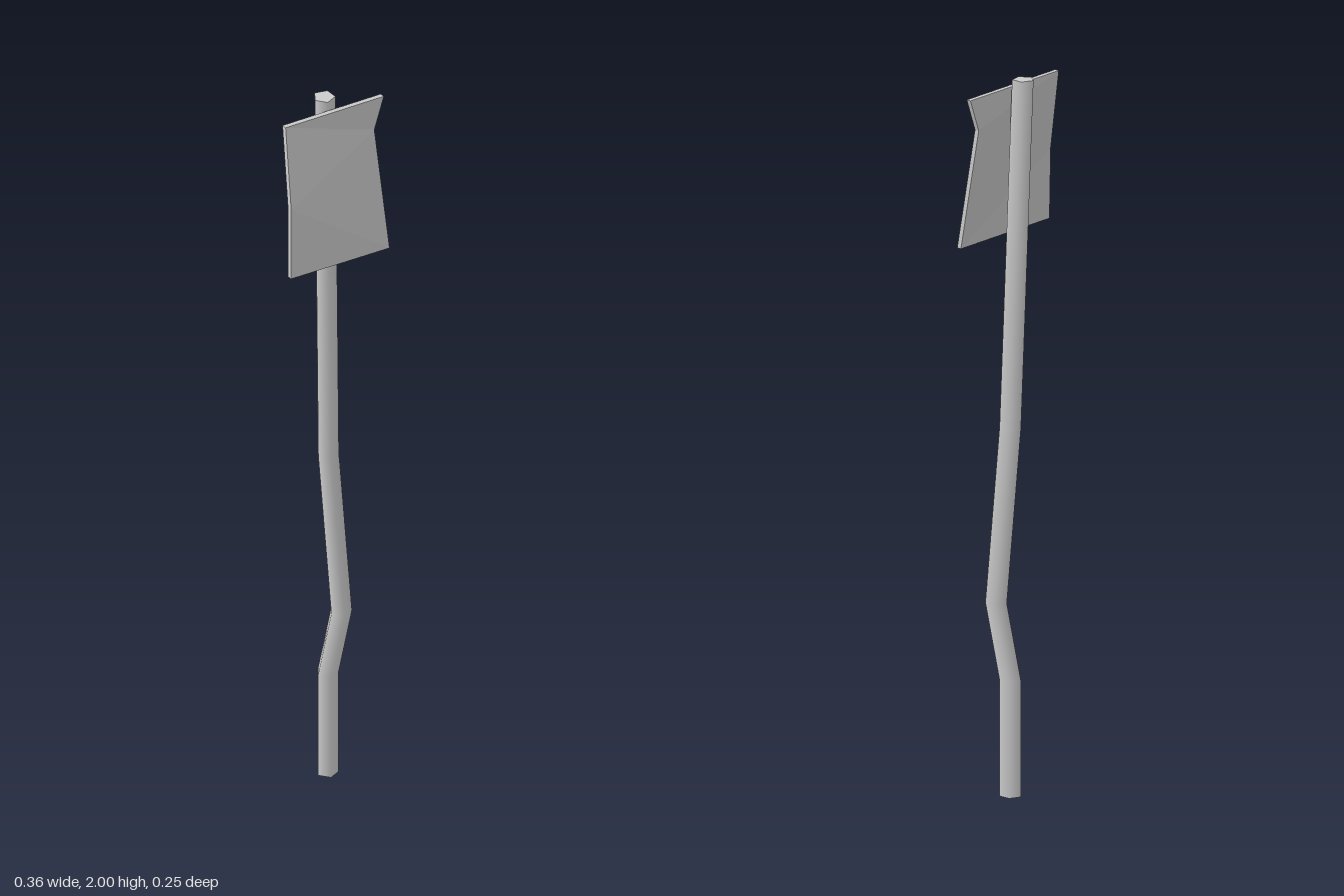
import * as THREE from 'three';

const material = () => new THREE.MeshStandardMaterial({ color: 0xcccccc });

// Five-sided bent pole: a cylinder whose rings follow a list of centres.
function createPole() {
  const centres = [
    [-0.09, 0, 0.059],
    [-0.09, 0.315, 0.059],
    [-0.075, 0.522, 0.097],
    [-0.088, 1.005, 0.057],
    [0.018, 2, -0.099],
  ];
  const spans = centres.length - 1;
  const geometry = new THREE.CylinderGeometry(0.03, 0.03, spans, 5, spans, false, -Math.PI / 2);
  const p = geometry.attributes.position;
  for (let i = 0; i < p.count; i++) {
    const [x, y, z] = centres[Math.round(p.getY(i) + spans / 2)];
    p.setXYZ(i, p.getX(i) + x, y, p.getZ(i) + z);
  }
  const mesh = new THREE.Mesh(geometry, material());
  mesh.name = 'pole';
  return mesh;
}

// Thin sign plate, creased from the middle of one side to the other.
function createPlate() {
  const thickness = 0.014;
  const front = [
    [-0.141, 1.988, -0.055], // top, right side
    [-0.162, 1.765, -0.003], // crease, right side
    [-0.178, 1.565, 0.018],  // bottom, right side
    [0.14, 1.54, 0.025],     // bottom, left side
    [0.142, 1.875, -0.044],  // crease, left side
    [0.177, 1.964, -0.049],  // top, left side
  ];
  const back = front.map(([x, y, z]) => [x, y, z - thickness]);
  const positions = [];
  const tri = (a, b, c) => positions.push(...a, ...b, ...c);

  // Front and back faces
  for (const [a, b, c] of [[0, 1, 4], [0, 4, 5], [1, 2, 3], [1, 3, 4]]) {
    tri(front[a], front[b], front[c]);
    tri(back[a], back[c], back[b]);
  }
  // Rim
  front.forEach((f, i) => {
    const j = (i + 1) % front.length;
    tri(f, back[i], back[j]);
    tri(f, back[j], front[j]);
  });

  const geometry = new THREE.BufferGeometry();
  geometry.setAttribute('position', new THREE.Float32BufferAttribute(positions, 3));
  geometry.computeVertexNormals();
  const mesh = new THREE.Mesh(geometry, material());
  mesh.name = 'signPlate';
  return mesh;
}

export function createModel() {
  const group = new THREE.Group();
  group.name = 'bentSignpost';
  group.add(createPole(), createPlate());
  return group;
}
